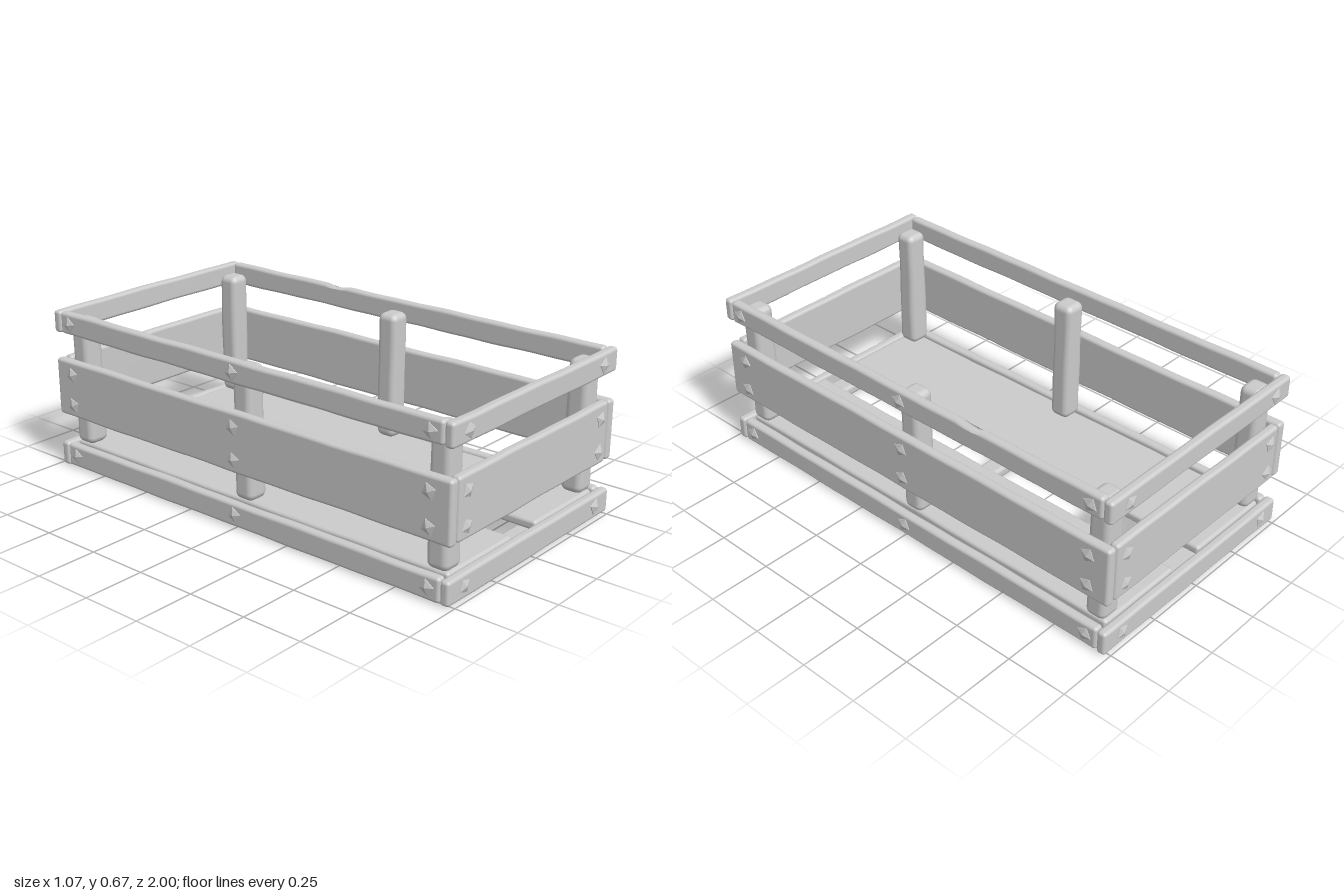
import * as THREE from 'three';

const material = new THREE.MeshStandardMaterial({ color: 0xcccccc });
const nailMaterial = new THREE.MeshStandardMaterial({ color: 0xcccccc, flatShading: true });

// Seeded generator for the hand-cut irregularities
let seed = 7;
const rand = () => (seed = (seed * 16807) % 2147483647) / 2147483647;

// Grid lines along one axis: two fine steps in each rounded end, even steps between
function gridLine(t, n, half, r) {
  const i = Math.round((t / (2 * half) + 0.5) * n);
  if (i <= 2) return -half + (r * i) / 2;
  if (i >= n - 2) return half - (r * (n - i)) / 2;
  return -half + r + ((2 * half - 2 * r) * (i - 2)) / (n - 4);
}

// Worn timber: a rounded box whose long edges wander slightly inwards
function timber(name, min, max, { r = 0.014, wear = 0.004, notch = null } = {}) {
  const size = max.map((v, i) => v - min[i]);
  const long = size.indexOf(Math.max(...size));
  const segs = size.map((s, i) => (i === long ? 4 + Math.ceil(s * 24) : 6));
  const geo = new THREE.BoxGeometry(...size, ...segs);
  const pos = geo.attributes.position, nor = geo.attributes.normal;
  const phases = [0, 1, 2, 3, 4, 5].map(() => rand() * 6.28);
  const freq = 7 + rand() * 4;

  for (let v = 0; v < pos.count; v++) {
    const p = [0, 1, 2].map(i => gridLine(pos.getComponent(v, i), segs[i], size[i] / 2, r));
    const inner = p.map((c, i) => THREE.MathUtils.clamp(c, r - size[i] / 2, size[i] / 2 - r));
    const dir = new THREE.Vector3(...p.map((c, i) => c - inner[i])).normalize();
    const out = inner.map((c, i) => c + dir.getComponent(i) * r);
    const along = out[long];

    // Wander of each long edge, scaled by the distance from the centre line
    for (let i = 0; i < 3; i++) {
      if (i === long) continue;
      const side = out[i] > 0 ? 1 : 0;
      const wave = 0.5 + 0.3 * Math.sin(along * freq + phases[i * 2 + side])
        + 0.2 * Math.sin(along * freq * 2.3 + phases[i]);
      const amount = size[i] > 0.06 ? wear : wear * 0.25;
      out[i] *= 1 - (amount * wave * 2) / size[i];
    }
    // Small chip in the top edge
    if (notch !== null && p[1] > size[1] / 2 - r) {
      out[1] -= 0.014 * Math.exp(-(((along - notch) / 0.035) ** 2));
    }
    pos.setXYZ(v, ...out);
    nor.setXYZ(v, dir.x, dir.y, dir.z);
  }
  const mesh = new THREE.Mesh(geo, material);
  mesh.name = name;
  mesh.position.set(...min.map((v, i) => (v + max[i]) / 2));
  return mesh;
}

// Square nail head with a pyramid point, facing +z
const nailGeometry = new THREE.LatheGeometry(
  [[0.034, -0.008], [0.031, 0.004], [0, 0.014]].map(([x, y]) => new THREE.Vector2(x, y)), 4
).rotateX(Math.PI / 2);

function nail(x, y, z, facing) {
  const mesh = new THREE.Mesh(nailGeometry, nailMaterial);
  mesh.name = 'nail';
  mesh.position.set(x, y, z);
  const mirror = x * Math.cos(facing) < 0 ? -1 : 1;
  mesh.rotation.set(0, facing, Math.PI / 4 + mirror * (0.25 + rand() * 0.4));
  return mesh;
}

export function createModel() {
  seed = 7;
  const crate = new THREE.Group();
  crate.name = 'crate';
  const nailRows = [0.054, 0.277, 0.407, 0.62];

  // Long sides: two rails and a wide board, nailed at three posts
  for (const s of [-1, 1]) {
    const side = new THREE.Group();
    side.name = s > 0 ? 'leftSide' : 'rightSide';
    const [x0, x1] = s > 0 ? [0.48, 0.522] : [-0.522, -0.48];
    side.add(
      timber('bottomRail', [x0, 0.002, -0.947], [x1, 0.102, 0.947]),
      timber('middleBoard', [x0, 0.222, -0.988], [x1, 0.467, 0.988]),
      timber('topRail', [x0, 0.573, -0.947], [x1, 0.668, 0.947], { notch: s > 0 ? -0.35 : null })
    );
    for (const z of [-0.895, 0, 0.895]) {
      for (const y of nailRows) side.add(nail(s * 0.52, y, z, s * Math.PI / 2));
    }
    crate.add(side);
  }

  // Short ends: rails overlap the side rails, the board sits between the side boards
  for (const s of [-1, 1]) {
    const end = new THREE.Group();
    end.name = s > 0 ? 'frontEnd' : 'backEnd';
    const [z0, z1] = s > 0 ? [0.948, 0.988] : [-0.988, -0.948];
    end.add(
      timber('bottomRail', [-0.523, 0, z0], [0.523, 0.102, z1]),
      timber('middleBoard', [-0.478, 0.222, z0], [0.478, 0.469, z1]),
      timber('topRail', [-0.523, 0.572, z0], [0.523, 0.669, z1])
    );
    for (const x of [-0.43, 0.425]) {
      for (const y of nailRows) end.add(nail(x, y, s * 0.986, s > 0 ? 0 : Math.PI));
    }
    crate.add(end);
  }

  // Posts standing on the floor, with a cross slat beneath each pair
  for (const z of [-0.898, 0, 0.898]) {
    for (const x of [-0.43, 0.43]) {
      crate.add(timber('post', [x - 0.05, 0.098, z - 0.048], [x + 0.05, 0.632, z + 0.048],
        { r: 0.028, wear: 0.005 }));
    }
    crate.add(timber('crossSlat', [-0.478, 0.012, z - 0.046], [0.478, 0.062, z + 0.046], { r: 0.018 }));
  }

  // Two wide floor planks with a gap between them
  for (const [x0, x1] of [[-0.468, -0.074], [0.074, 0.468]]) {
    crate.add(timber('floorPlank', [x0, 0.06, -0.946], [x1, 0.1, 0.946]));
  }
  return crate;
}
